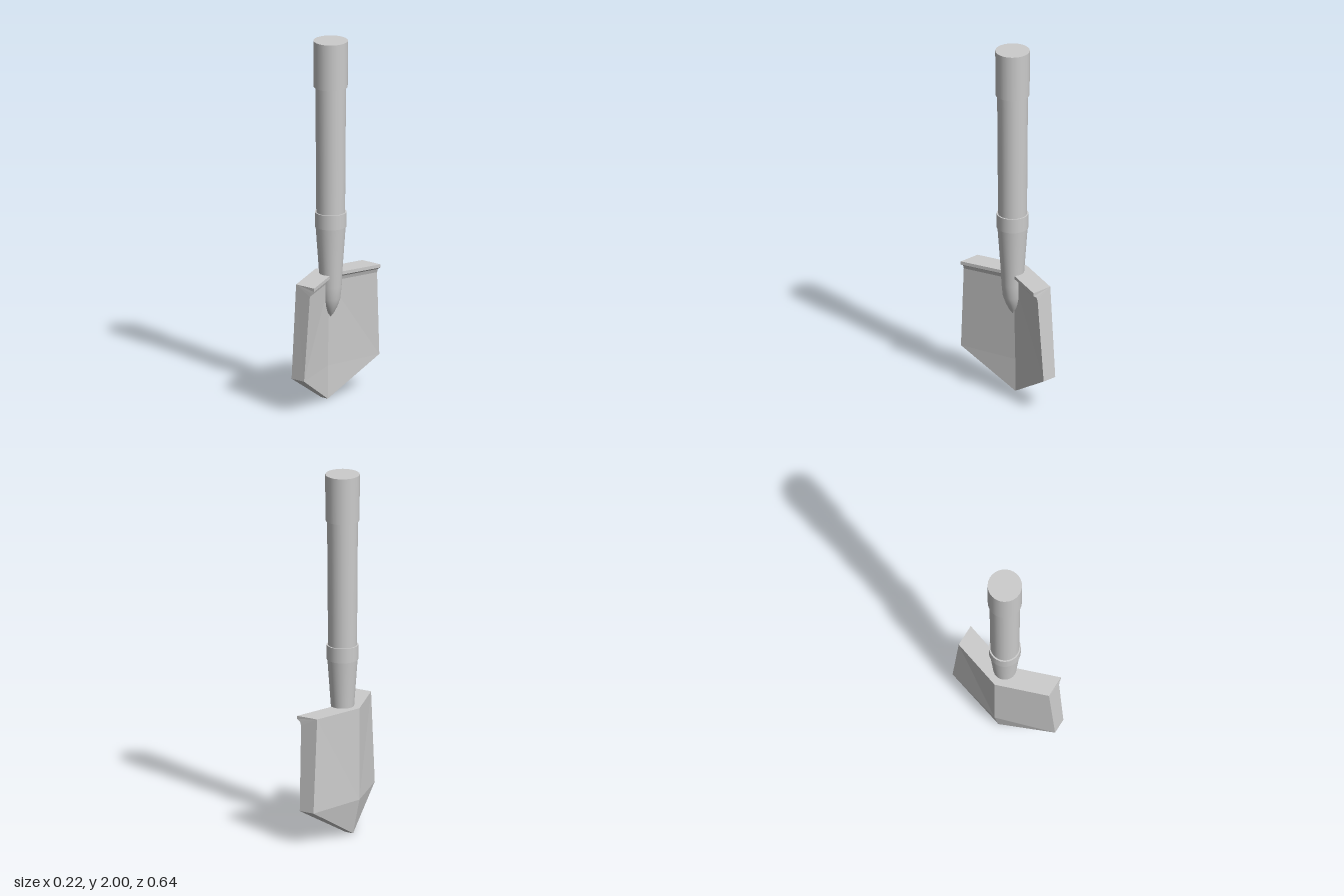
import * as THREE from 'three';

const metal = new THREE.MeshStandardMaterial({ color: 0xcccccc });
const AXIS_X = -0.005;

// Blade cross-sections, ordered down the back, under the point and up the front to the lip.
const SPINE = [
  [-0.11, 0.71, 0], [-0.11, 0.2, 0], [-0.07, 0.005, 0], [-0.025, 0.005, 0],
  [-0.025, 0.19, 0], [-0.013, 0.66, 0], [-0.006, 0.68, 0], [0.012, 0.692, 0], [0.012, 0.71, 0],
];
const EDGE = [
  [-0.015, 0.71, 0.28], [-0.015, 0.195, 0.318], [-0.015, 0.195, 0.318], [0.07, 0.195, 0.318],
  [0.07, 0.195, 0.318], [0.082, 0.66, 0.284], [0.089, 0.68, 0.282], [0.108, 0.692, 0.28], [0.108, 0.71, 0.28],
];

function bladeGeometry() {
  const positions = [];
  const a = new THREE.Vector3(), b = new THREE.Vector3(), c = new THREE.Vector3();
  for (const side of [1, -1]) {
    // Add one triangle, mirrored in z for the second half; skip collapsed ones.
    const tri = (p, q, r) => {
      const t = side > 0 ? [p, q, r] : [p, r, q];
      a.fromArray(p);
      b.fromArray(q).sub(a);
      c.fromArray(r).sub(a);
      if (b.cross(c).length() < 1e-8) return;
      for (const v of t) positions.push(v[0], v[1], v[2] * side);
    };
    const n = SPINE.length;
    for (let i = 0; i < n; i++) {
      const j = (i + 1) % n;
      tri(SPINE[i], SPINE[j], EDGE[i]);
      tri(SPINE[j], EDGE[j], EDGE[i]);
    }
    // Closed side edge
    for (let i = 1; i < n - 1; i++) tri(EDGE[0], EDGE[i], EDGE[i + 1]);
  }
  const geometry = new THREE.BufferGeometry();
  geometry.setAttribute('position', new THREE.Float32BufferAttribute(positions, 3));
  geometry.computeVertexNormals();
  return geometry;
}

export function createModel() {
  const group = new THREE.Group();

  const add = (name, geometry, x = 0, y = 0) => {
    const mesh = new THREE.Mesh(geometry, metal);
    mesh.name = name;
    mesh.position.set(x, y, 0);
    group.add(mesh);
  };
  const rod = (name, bottom, top, rBottom, rTop) =>
    add(name, new THREE.CylinderGeometry(rTop, rBottom, top - bottom, 24), AXIS_X, (bottom + top) / 2);

  // Folded, pointed blade with foot lips
  add('blade', bladeGeometry());

  // Tapered socket running out to a point in the blade's fold
  const socket = [[0, 0.465], [0.018, 0.49], [0.036, 0.525], [0.052, 0.57], [0.059, 0.64], [0.062, 0.71], [0.081, 0.975]];
  add('socket', new THREE.LatheGeometry(socket.map(([r, y]) => new THREE.Vector2(r, y)), 24), AXIS_X);

  // Handle parts
  rod('ferrule', 0.97, 1.05, 0.085, 0.085);
  rod('handle', 1.05, 1.75, 0.077, 0.082);
  rod('grip', 1.745, 2, 0.091, 0.092);

  return group;
}
